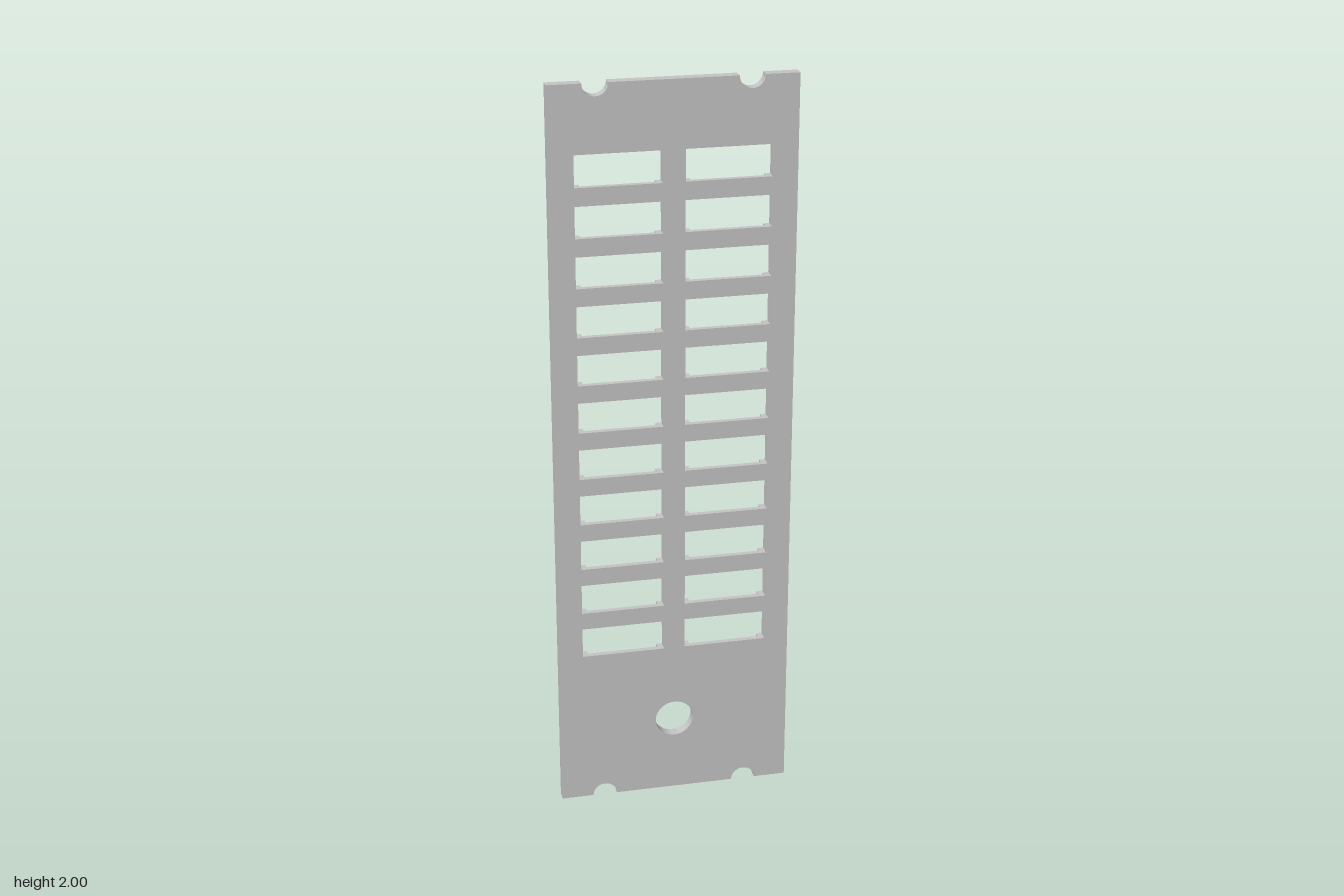
import * as THREE from 'three';
import { toCreasedNormals } from 'three/addons/utils/BufferGeometryUtils.js';

const HALF_W = 0.316, HEIGHT = 2, HALF_T = 0.015;
const NOTCH_X = 0.196, NOTCH_R = 0.033;
const COLUMN_X = 0.14, SLOT_HALF_W = 0.1115, SLOT_H = 0.083;
const SLOT_Y0 = 0.438, PITCH = 0.1303, ROWS = 11;
const RECESS_HALF_W = 0.096, RECESS_BOTTOM = 0.355, RECESS_TOP = 1.908;

// Plate outline with half-round notches in both ends, and the round hole
function plateShape() {
  const s = new THREE.Shape();
  s.moveTo(-HALF_W, 0);
  for (const x of [-NOTCH_X, NOTCH_X]) {
    s.lineTo(x - NOTCH_R, 0);
    s.absarc(x, 0, NOTCH_R, Math.PI, 0, true);
  }
  s.lineTo(HALF_W, 0);
  s.lineTo(HALF_W, HEIGHT);
  for (const x of [NOTCH_X, -NOTCH_X]) {
    s.lineTo(x + NOTCH_R, HEIGHT);
    s.absarc(x, HEIGHT, NOTCH_R, 0, -Math.PI, true);
  }
  s.lineTo(-HALF_W, HEIGHT);
  s.closePath();
  const hole = new THREE.Path();
  hole.absarc(0, 0.217, 0.052, 0, Math.PI * 2, true);
  s.holes.push(hole);
  return s;
}

function pathFrom(points) {
  return new THREE.Path(points.map(([x, y]) => new THREE.Vector2(x, y)));
}

// One rectangular window
function slotPath(cx, y) {
  const w = SLOT_HALF_W;
  return pathFrom([[cx - w, y], [cx - w, y + SLOT_H], [cx + w, y + SLOT_H], [cx + w, y]]);
}

// Long rear channel, widened wherever it crosses a window
function channelPath(cx) {
  const side = [[RECESS_HALF_W, RECESS_BOTTOM]];
  for (let i = 0; i < ROWS; i++) {
    const y = SLOT_Y0 + i * PITCH;
    side.push([RECESS_HALF_W, y], [SLOT_HALF_W, y],
      [SLOT_HALF_W, y + SLOT_H], [RECESS_HALF_W, y + SLOT_H]);
  }
  side.push([RECESS_HALF_W, RECESS_TOP]);
  const left = side.map(([x, y]) => [cx - x, y]);
  const right = side.map(([x, y]) => [cx + x, y]).reverse();
  return pathFrom([...left, ...right]);
}

function layer(name, shape, z, depth, material) {
  const geo = new THREE.ExtrudeGeometry(shape, { depth, bevelEnabled: false, curveSegments: 40 });
  geo.translate(0, 0, z);
  const mesh = new THREE.Mesh(toCreasedNormals(geo, 0.5), material);
  mesh.name = name;
  return mesh;
}

export function createModel() {
  const group = new THREE.Group();
  group.name = 'slottedPlate';
  const grey = new THREE.MeshStandardMaterial({ color: 0xc5c5c5 });
  grey.name = 'lightGrey';

  // Front half has separate windows, back half has the two channels
  const front = plateShape(), back = plateShape();
  for (const cx of [-COLUMN_X, COLUMN_X]) {
    for (let i = 0; i < ROWS; i++) front.holes.push(slotPath(cx, SLOT_Y0 + i * PITCH));
    back.holes.push(channelPath(cx));
  }
  group.add(layer('frontPlate', front, 0, HALF_T, grey));
  group.add(layer('backPlate', back, -HALF_T, HALF_T, grey));
  return group;
}
